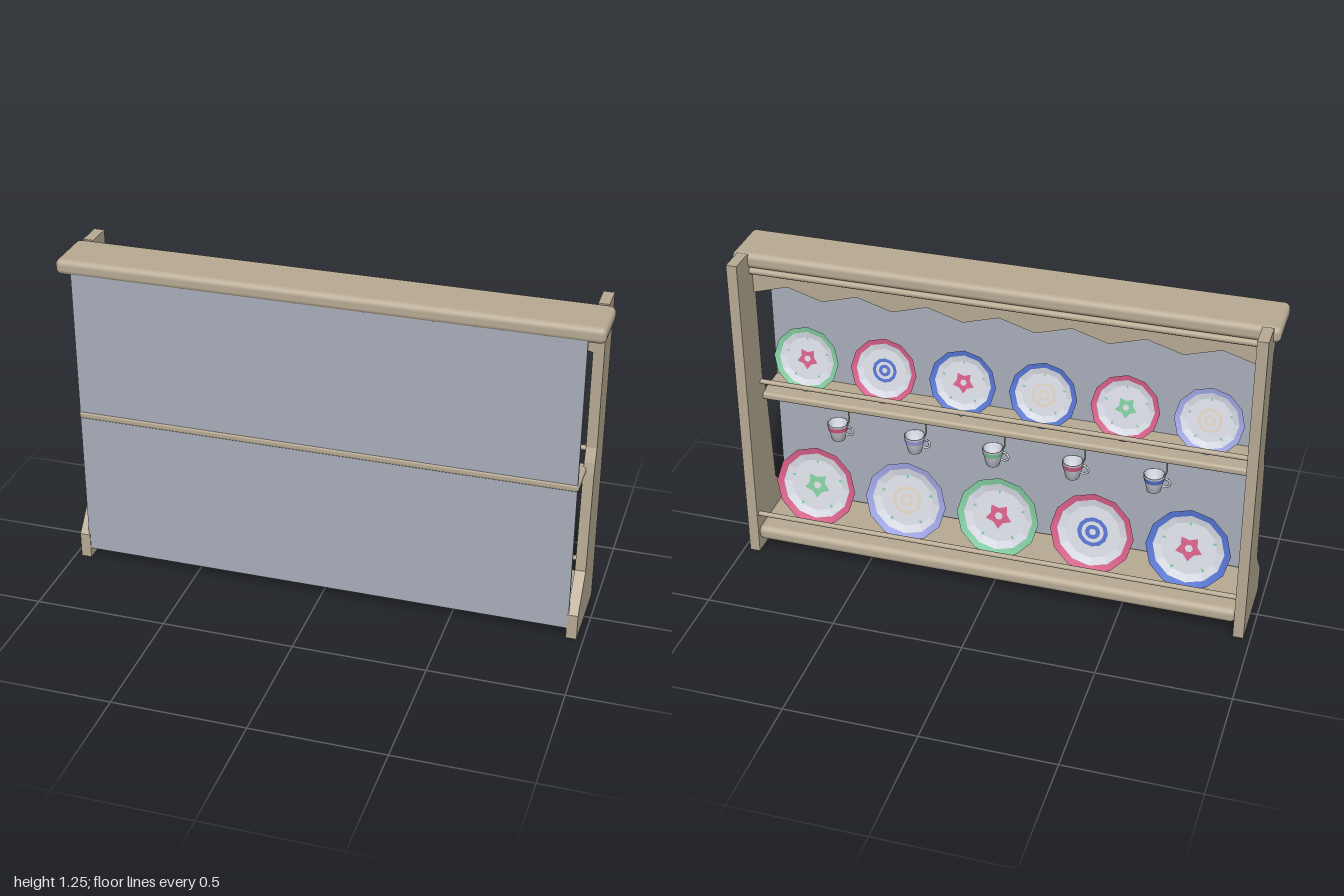
import * as THREE from 'three';
import { RoundedBoxGeometry } from 'three/addons/geometries/RoundedBoxGeometry.js';

const mat = (name, color, extra = {}) => {
  const m = new THREE.MeshStandardMaterial({ color, ...extra });
  m.name = name;
  return m;
};

export function createModel() {
  const root = new THREE.Group();
  root.name = 'plateRack';
  const wood = mat('wood', 0xb8ab94);
  const panelGrey = mat('panelGrey', 0xa9afbc);
  const china = mat('china', 0xd8dbe4, { side: THREE.DoubleSide });
  const pink = mat('pink', 0xd65f88, { side: THREE.DoubleSide });
  const blue = mat('blue', 0x5675d2, { side: THREE.DoubleSide });
  const green = mat('green', 0x82cba0, { side: THREE.DoubleSide });
  const lavender = mat('lavender', 0xa0a6e4, { side: THREE.DoubleSide });
  const cream = mat('cream', 0xded3c4, { side: THREE.DoubleSide });

  const add = (parent, name, geo, material, x = 0, y = 0, z = 0) => {
    const m = new THREE.Mesh(geo, material);
    m.name = name;
    m.position.set(x, y, z);
    parent.add(m);
    return m;
  };
  // board given by its limits in y and z
  const board = (name, width, y0, y1, z0, z1, r) =>
    add(root, name, new RoundedBoxGeometry(width, y1 - y0, z1 - z0, 3, r), wood, 0, (y0 + y1) / 2, (z0 + z1) / 2);
  const rail = (name, y, z, r) =>
    add(root, name, new THREE.CylinderGeometry(r, r, 1.88, 10).rotateZ(Math.PI / 2), wood, 0, y, z);

  // side posts, profile in (z, y)
  const profile = [[-0.155, 0], [0.155, 0], [0.155, 0.1], [0.045, 0.225], [0.02, 0.62], [0.012, 0.66],
    [-0.007, 0.71], [-0.007, 1.125], [0.035, 1.19], [0.035, 1.22], [-0.05, 1.22], [-0.05, 1.25], [-0.155, 1.25]];
  const postShape = new THREE.Shape(profile.map(([z, y]) => new THREE.Vector2(-z, y)));
  const postGeo = new THREE.ExtrudeGeometry(postShape, { depth: 0.04, bevelEnabled: false });
  postGeo.translate(0, 0, -0.02).rotateY(Math.PI / 2);
  for (const s of [1, -1]) add(root, s > 0 ? 'leftPost' : 'rightPost', postGeo, wood, s * 0.955);

  // panel, boards and rails
  add(root, 'panel', new THREE.BoxGeometry(1.88, 1.16, 0.012), panelGrey, 0, 0.62, 0.146);
  board('topBoard', 2, 1.19, 1.25, -0.056, 0.156, 0.022);
  board('upperShelf', 1.89, 0.612, 0.642, -0.015, 0.156, 0.011);
  board('lowerShelf', 1.88, 0.05, 0.11, -0.15, 0.14, 0.024);
  rail('upperRail', 0.698, -0.022, 0.01);
  rail('lowerRail', 0.165, -0.132, 0.01);
  rail('topRail', 1.178, -0.04, 0.014);

  // wavy valance under the top board
  const wave = new THREE.Shape();
  wave.moveTo(0.935, 1.2);
  wave.lineTo(-0.935, 1.2);
  const steps = 28;
  for (let i = 0; i <= steps; i++)
    wave.lineTo(-0.935 + (1.87 * i) / steps, 1.1 - 0.02 * Math.cos((i / 4) * Math.PI * 2));
  add(root, 'valance', new THREE.ExtrudeGeometry(wave, { depth: 0.014, bevelEnabled: false }), wood, 0, 0, -0.024);

  // flat painted ring and five-petal flower, facing +y
  const ring = (r0, r1) => new THREE.RingGeometry(r0, r1, 12).rotateX(-Math.PI / 2);
  const flower = (r) => {
    const s = new THREE.Shape();
    for (let i = 0; i < 10; i++) {
      const a = (i / 10) * Math.PI * 2 + Math.PI / 2;
      const q = i % 2 ? r * 0.62 : r;
      s[i ? 'lineTo' : 'moveTo'](Math.cos(a) * q, Math.sin(a) * q);
    }
    const hole = new THREE.Path();
    hole.absarc(0, 0, r * 0.3, 0, Math.PI * 2, true);
    s.holes.push(hole);
    return new THREE.ShapeGeometry(s, 3).rotateX(-Math.PI / 2);
  };

  const lathe = (pts, n) => new THREE.LatheGeometry(pts.map(([x, y]) => new THREE.Vector2(x, y)), n);
  const plate = (name, x, y, z, R, rim, motif, kind) => {
    const g = new THREE.Group();
    g.name = name;
    const d = R * 0.16;
    add(g, 'plateBody', lathe([[0, 0], [R * 0.64, 0], [R, d], [R * 0.66, d * 0.35], [0, d * 0.35]], 12).toNonIndexed(), china)
      .geometry.computeVertexNormals();
    add(g, 'rimBand', lathe([[R, d + 0.0015], [R * 0.84, d * 0.694 + 0.0015]], 12), rim);
    const top = d * 0.35 + 0.0015;
    if (kind === 'rings') {
      add(g, 'outerRing', ring(R * 0.27, R * 0.37), motif, 0, top);
      add(g, 'innerRing', ring(R * 0.08, R * 0.18), motif, 0, top);
    } else add(g, 'flower', flower(R * 0.33), motif, 0, top);
    // small leaves around the motif
    if (motif !== blue) for (let i = 0; i < 5; i++) {
      const a = (i / 5) * Math.PI * 2 + 0.3;
      const leaf = new THREE.CircleGeometry(R * 0.06, 4).scale(1, 0.6, 1).rotateX(-Math.PI / 2);
      add(g, 'leaf', leaf, green, Math.cos(a) * R * 0.62, top, Math.sin(a) * R * 0.62).rotation.y = -a;
    }
    g.position.set(x, y, z);
    g.rotation.x = -(Math.PI / 2 - 0.21);
    root.add(g);
  };

  const upper = [[green, pink, 'flower'], [pink, blue, 'rings'], [blue, pink, 'flower'],
    [blue, cream, 'rings'], [pink, green, 'flower'], [lavender, cream, 'rings']];
  upper.forEach((p, i) => plate('upperPlate', 0.765 - i * 0.306, 0.79, 0.045, 0.128, ...p));
  const lower = [[pink, green, 'flower'], [lavender, cream, 'rings'], [green, pink, 'flower'],
    [pink, blue, 'rings'], [blue, pink, 'flower']];
  lower.forEach((p, i) => plate('lowerPlate', 0.73 - i * 0.365, 0.265, -0.016, 0.16, ...p));

  // hanging cups
  [pink, lavender, green, pink, blue].forEach((color, i) => {
    const g = new THREE.Group();
    g.name = 'cup';
    add(g, 'cupBody', lathe([[0, 0], [0.026, 0], [0.041, 0.07], [0.036, 0.07], [0.023, 0.006], [0, 0.006]], 12), china);
    add(g, 'cupBand', lathe([[0.0366, 0.044], [0.0411, 0.064]], 12), color);
    add(g, 'cupHandle', new THREE.TorusGeometry(0.018, 0.005, 5, 10), china, -0.042, 0.04);
    const hook = new THREE.CatmullRomCurve3([[-0.045, 0.145], [-0.045, 0.085], [-0.037, 0.062], [-0.046, 0.05], [-0.055, 0.06]]
      .map(([x, y]) => new THREE.Vector3(x, y, 0)));
    add(g, 'cupHook', new THREE.TubeGeometry(hook, 12, 0.003, 5), wood);
    g.position.set(0.642 - i * 0.306, 0.482, 0);
    root.add(g);
  });
  return root;
}
